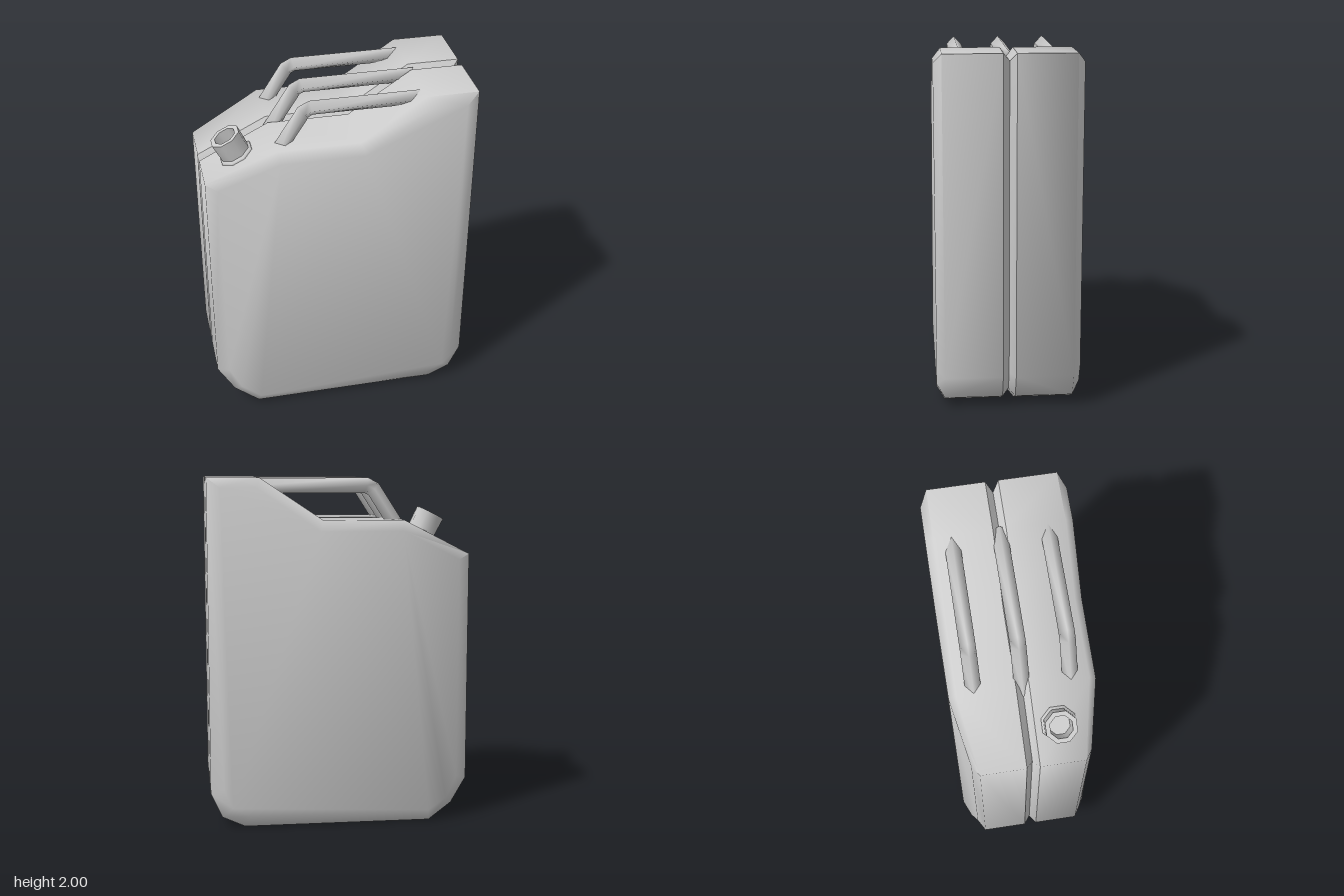
import * as THREE from 'three';
import { toCreasedNormals } from 'three/addons/utils/BufferGeometryUtils.js';

const material = new THREE.MeshStandardMaterial({ color: 0xcccccc });

function addMesh(parent, name, geometry) {
  const mesh = new THREE.Mesh(geometry, material);
  mesh.name = name;
  parent.add(mesh);
  return mesh;
}

// Triangles joining a series of closed rings with equal point counts
function loftFaces(rings) {
  const n = rings[0].length, faces = [];
  for (let r = 0; r < rings.length - 1; r++) {
    for (let i = 0; i < n; i++) {
      const j = (i + 1) % n, a = r * n, b = a + n;
      faces.push([a + i, b + i, b + j], [a + i, b + j, a + j]);
    }
  }
  return faces;
}

function makeGeometry(rings, faces) {
  const g = new THREE.BufferGeometry();
  g.setAttribute('position', new THREE.Float32BufferAttribute(rings.flat(2), 3));
  g.setIndex(faces.flat());
  g.computeVertexNormals();
  return g;
}

// Side outline, clockwise: [x, y, depth of bevel start, face x, face y, face z]
const outline = [
  [-0.755, 1.56, 0.29, -0.69, 1.53, 0.33],
  [-0.36, 1.76, 0.36, -0.35, 1.70, 0.40],
  [0.10, 1.76, 0.36, 0.12, 1.70, 0.405],
  [0.46, 2.00, 0.36, 0.48, 1.945, 0.405],
  [0.755, 2.00, 0.36, 0.68, 1.945, 0.405],
  [0.755, 0.20, 0.36, 0.68, 0.23, 0.405],
  [0.69, 0.06, 0.36, 0.63, 0.12, 0.405],
  [0.56, 0.00, 0.36, 0.53, 0.07, 0.405],
  [-0.52, 0.00, 0.36, -0.51, 0.07, 0.405],
  [-0.66, 0.09, 0.325, -0.62, 0.13, 0.365],
  [-0.755, 0.23, 0.29, -0.69, 0.25, 0.33],
];
const seam = 0.036;

// Outline moved inward by a fixed distance with mitred corners
function insetOutline(d) {
  const n = outline.length;
  return outline.map((p, i) => {
    const a = outline[(i + n - 1) % n], b = outline[(i + 1) % n];
    const u = new THREE.Vector2(p[0] - a[0], p[1] - a[1]).normalize();
    const v = new THREE.Vector2(b[0] - p[0], b[1] - p[1]).normalize();
    const k = d / (1 + u.dot(v));
    return [p[0] + (u.y + v.y) * k, p[1] - (u.x + v.x) * k];
  });
}

// One pressed half of the can: wall, bevel and large face
function halfShell(side) {
  const rings = [
    outline.map(p => [p[0], p[1], side * seam]),
    outline.map(p => [p[0], p[1], side * p[2]]),
    outline.map(p => [p[3], p[4], side * p[5]]),
  ];
  const faces = loftFaces(rings);
  const base = 2 * outline.length;
  const addFace = (ids) => {
    const [a, b, c] = ids.map(i => rings[2][i]);
    const turn = (b[0] - a[0]) * (c[1] - a[1]) - (b[1] - a[1]) * (c[0] - a[0]);
    const t = ids.map(i => i + base);
    faces.push(turn > 0 ? t : [t[0], t[2], t[1]]);
  };
  // Flat area, then the area falling away toward the spout side
  const flat = [1, 2, 3, 4, 5, 6, 7, 8];
  const points = flat.map(i => new THREE.Vector2(rings[2][i][0], rings[2][i][1]));
  THREE.ShapeUtils.triangulateShape(points, []).forEach(t => addFace(t.map(k => flat[k])));
  [[1, 8, 9], [1, 9, 10], [1, 10, 0]].forEach(addFace);
  if (side < 0) faces.forEach(f => f.reverse());
  return toCreasedNormals(makeGeometry(rings, faces), 1.2);
}

// V-shaped groove around the can between the halves
function seamGroove() {
  const rings = [
    outline.map(p => [p[0], p[1], -seam]),
    insetOutline(0.045).map(p => [p[0], p[1], 0]),
    outline.map(p => [p[0], p[1], seam]),
  ];
  return toCreasedNormals(makeGeometry(rings, loftFaces(rings)), 0.9);
}

// Bent bar with a diamond section and mitred bends
function handleBar() {
  const path = [[-0.36, 1.68], [-0.198, 1.932], [-0.157, 1.953], [0.48, 1.953]]
    .map(p => new THREE.Vector2(...p));
  const r = 0.043;
  const rings = path.map((p, i) => {
    const u = p.clone().sub(path[Math.max(i - 1, 0)]).normalize();
    const v = path[Math.min(i + 1, path.length - 1)].clone().sub(p).normalize();
    if (i === 0) u.copy(v);
    if (i === path.length - 1) v.copy(u);
    const k = r / (1 + u.dot(v));
    const nx = -(u.y + v.y) * k, ny = (u.x + v.x) * k;
    return [[p.x + nx, p.y + ny, 0], [p.x, p.y, -r], [p.x - nx, p.y - ny, 0], [p.x, p.y, r]];
  });
  const faces = loftFaces(rings);
  const e = 4 * (rings.length - 1);
  faces.push([e, e + 3, e + 2], [e, e + 2, e + 1], [0, 2, 3], [0, 1, 2]);
  return makeGeometry(rings, faces);
}

// Open octagonal pouring neck
function spoutGeometry() {
  const profile = [[0.1, -0.04], [0.1, 0.005], [0.087, 0.015], [0.09, 0.13], [0.064, 0.13], [0.06, 0.02], [0, 0.02]]
    .map(p => new THREE.Vector2(...p));
  return toCreasedNormals(new THREE.LatheGeometry(profile, 8, Math.PI / 8), 0.9);
}

export function createModel() {
  const model = new THREE.Group();
  model.name = 'fuelCan';

  addMesh(model, 'frontShell', halfShell(1));
  addMesh(model, 'backShell', halfShell(-1));
  addMesh(model, 'seamGroove', seamGroove());

  const bar = handleBar();
  for (const [name, z] of [['backHandle', -0.262], ['middleHandle', 0], ['frontHandle', 0.262]]) {
    addMesh(model, name, bar).position.z = z;
  }

  const spout = addMesh(model, 'spout', spoutGeometry());
  spout.position.set(-0.56, 1.662, 0.165);
  spout.rotation.z = Math.atan2(0.2, 0.395);
  return model;
}
